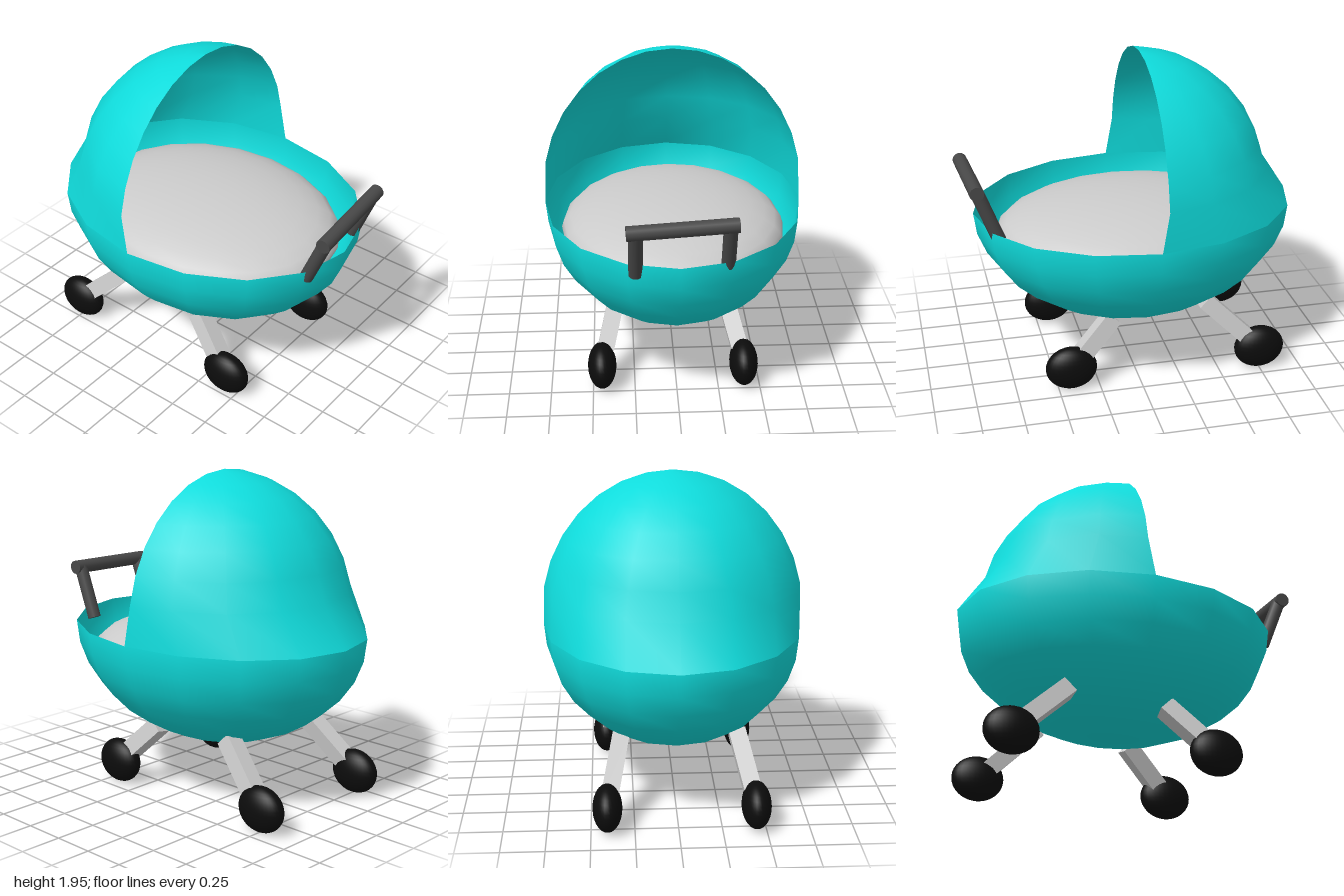
import * as THREE from 'three';

const teal = new THREE.MeshStandardMaterial({ color: 0x0fdcdc, side: THREE.DoubleSide });
const grey = new THREE.MeshStandardMaterial({ color: 0xcccccc });
const dark = new THREE.MeshStandardMaterial({ color: 0x484848 });
const black = new THREE.MeshStandardMaterial({ color: 0x0c0c0c });

const CX = -0.04, RIM = 1.02;

function add(parent, name, geometry, material) {
  const mesh = new THREE.Mesh(geometry, material);
  mesh.name = name;
  parent.add(mesh);
  return mesh;
}

// Place a mesh whose length runs along y between two points
function span(mesh, a, b) {
  mesh.position.copy(a).add(b).multiplyScalar(0.5);
  mesh.quaternion.setFromUnitVectors(new THREE.Vector3(0, 1, 0), b.clone().sub(a).normalize());
}

function rod(parent, name, a, b, radius) {
  const geometry = new THREE.CylinderGeometry(radius, radius, a.distanceTo(b), 16);
  span(add(parent, name, geometry, dark), a, b);
}

// Half dome: rows run from the crown to the rim, cut flat at the opening
function hoodGeometry() {
  const positions = [], indices = [], rows = 8, cols = 8, cut = -0.08;
  for (let i = 0; i <= rows; i++) {
    const polar = (i / rows) * Math.PI / 2, last = i === rows;
    const rx = last ? 0.96 : 0.82 * Math.sin(polar);
    const rz = last ? 0.77 : 0.775 * Math.sin(polar);
    const y = last ? RIM : 1.09 + 0.86 * Math.cos(polar);
    for (let j = 0; j <= cols; j++) {
      const a = (j / cols) * Math.PI;
      const x = CX - rx * Math.sin(a);
      positions.push(last ? x : Math.min(cut, x), y, -rz * Math.cos(a));
    }
  }
  for (let i = 0; i < rows; i++) {
    for (let j = 0; j < cols; j++) {
      const a = i * (cols + 1) + j, b = a + cols + 1;
      indices.push(a, b, b + 1);
      if (i > 0) indices.push(a, b + 1, a + 1);
    }
  }
  const geometry = new THREE.BufferGeometry();
  geometry.setAttribute('position', new THREE.Float32BufferAttribute(positions, 3));
  geometry.setIndex(indices);
  geometry.computeVertexNormals();
  return geometry;
}

export function createModel() {
  const model = new THREE.Group();
  model.name = 'babyCarriage';
  const v = (x, y, z) => new THREE.Vector3(x, y, z);

  // Open bowl
  const bowl = new THREE.SphereGeometry(1, 16, 8, 0, Math.PI * 2, Math.PI / 2, Math.PI / 2);
  bowl.scale(0.96, 0.70, 0.77);
  add(model, 'basket', bowl, teal).position.set(CX, RIM, 0);

  // Canopy over the -x half
  add(model, 'hood', hoodGeometry(), teal);

  // Domed mattress
  const mattress = new THREE.SphereGeometry(1, 20, 16);
  mattress.scale(0.83, 0.22, 0.675);
  add(model, 'mattress', mattress, grey).position.set(CX, 0.85, 0);

  // Slanted legs, each with a flattened ball wheel
  const wheelGeometry = new THREE.SphereGeometry(1, 32, 16);
  wheelGeometry.scale(0.155, 0.135, 0.085);
  for (const [wheelX, topX, topY] of [[-0.75, -0.42, 0.455], [0.42, 0.15, 0.41]]) {
    for (const [wheelZ, topZ] of [[0.445, 0.36], [-0.405, -0.32]]) {
      const wheelAt = v(wheelX, 0.14, wheelZ), top = v(topX, topY, topZ);
      const legGeometry = new THREE.BoxGeometry(0.1, wheelAt.distanceTo(top), 0.1);
      span(add(model, 'leg', legGeometry, grey), wheelAt, top);
      add(model, 'wheel', wheelGeometry, black).position.copy(wheelAt);
    }
  }

  // Push handle: two posts and a slightly skewed grip
  const handle = new THREE.Group();
  handle.name = 'handle';
  rod(handle, 'handlePost', v(0.80, 0.96, -0.265), v(0.92, 1.27, -0.265), 0.04);
  rod(handle, 'handlePost', v(0.83, 0.95, 0.245), v(0.95, 1.25, 0.245), 0.04);
  rod(handle, 'handleGrip', v(0.92, 1.272, -0.31), v(0.957, 1.25, 0.295), 0.042);
  model.add(handle);

  return model;
}
